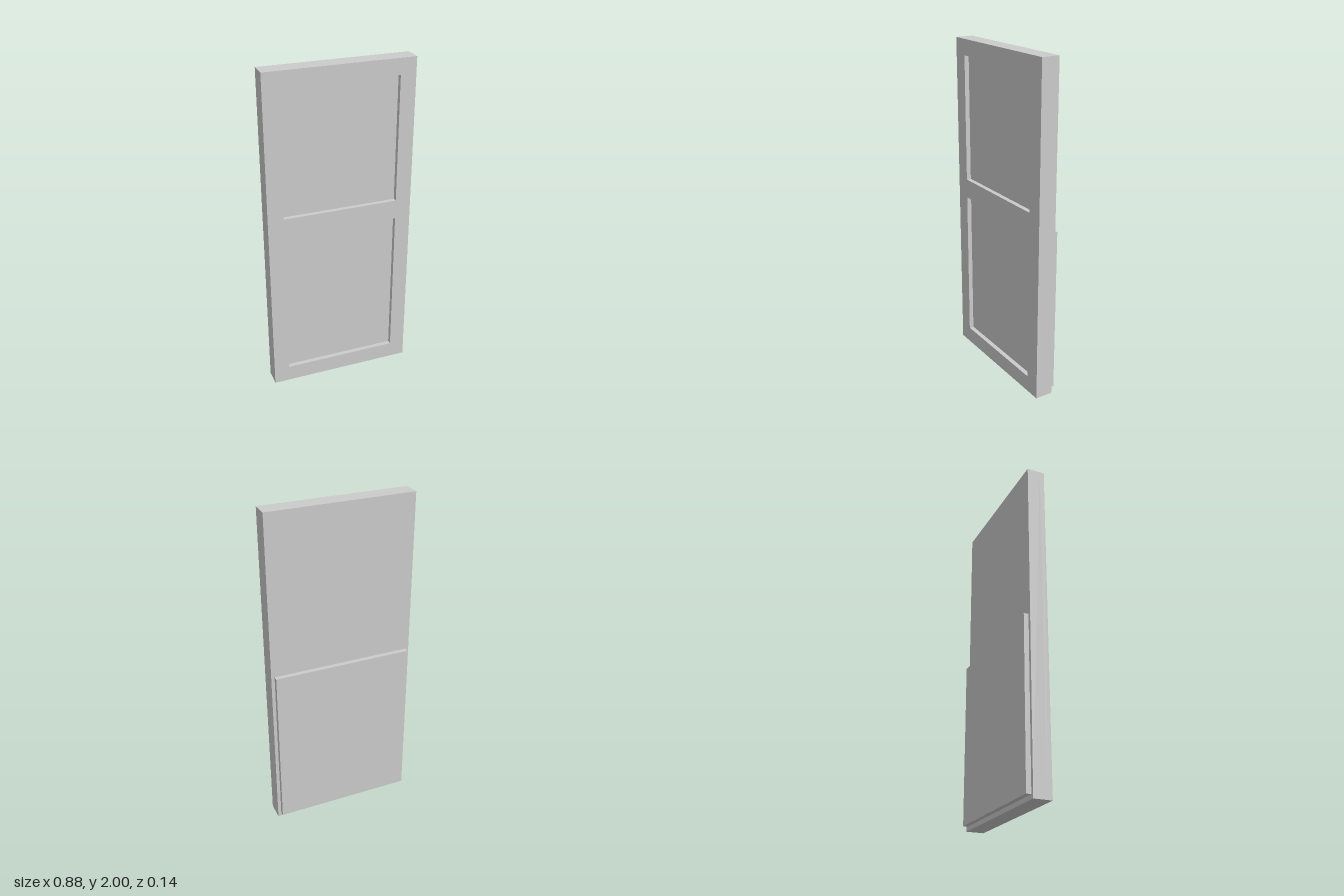
import * as THREE from 'three';

const W = 0.441, H = 2, FRONT = 0.068, BACK = -0.04, RECESS = 0.028;

function rectangle(target, x, y0, y1) {
  target.moveTo(-x, y0);
  target.lineTo(x, y0);
  target.lineTo(x, y1);
  target.lineTo(-x, y1);
  target.closePath();
  return target;
}

export function createModel() {
  const model = new THREE.Group();
  model.name = 'panelledDoor';
  const material = new THREE.MeshStandardMaterial({ color: 0xcccccc });

  const add = (name, geometry, y, z) => {
    const mesh = new THREE.Mesh(geometry, material);
    mesh.name = name;
    mesh.position.set(0, y, z);
    model.add(mesh);
  };

  // Front frame with two panel openings
  const frame = rectangle(new THREE.Shape(), W, 0, H);
  for (const [y0, y1] of [[0.1, 1.026], [1.143, 1.905]]) {
    frame.holes.push(rectangle(new THREE.Path(), 0.347, y0, y1));
  }
  add('frontFrame', new THREE.ExtrudeGeometry(frame, { depth: RECESS, bevelEnabled: false }), 0, FRONT - RECESS);

  // Solid core, forming the recessed panels
  const coreDepth = FRONT - RECESS - BACK;
  add('doorCore', new THREE.BoxGeometry(W * 2, H, coreDepth), H / 2, BACK + coreDepth / 2);

  // Raised plate on the lower back
  add('backPlate', new THREE.BoxGeometry(0.842, 1, 0.029), 0.526, BACK - 0.0145);

  return model;
}
